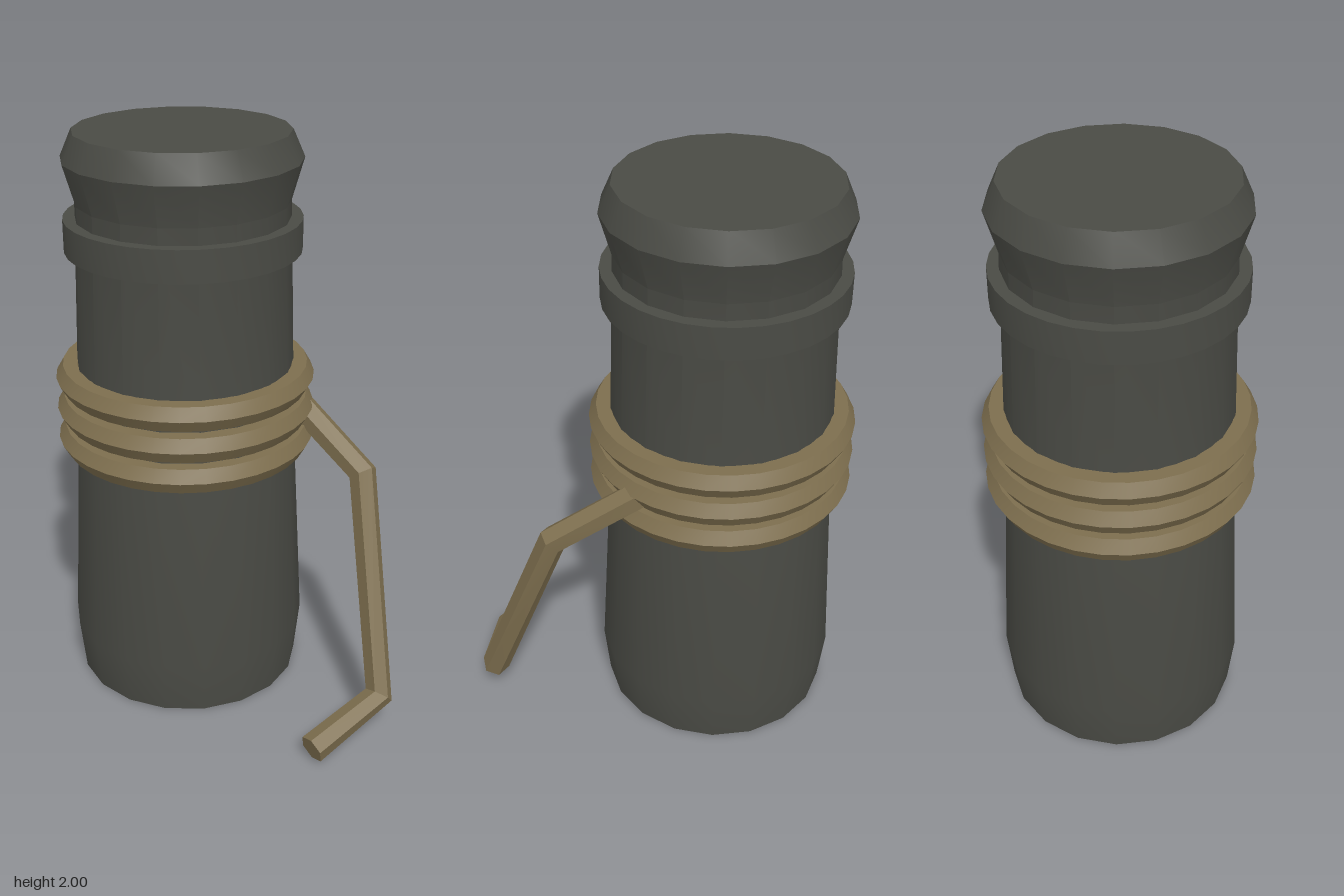
import * as THREE from 'three';
import { toCreasedNormals, mergeGeometries } from 'three/addons/utils/BufferGeometryUtils.js';

const CX = -0.14, CZ = -0.14; // axis of the cylinder body

// Open polyline whose corner tangents bisect the neighbouring segments
class BentPath extends THREE.Curve {
  constructor(points) {
    super();
    this.points = points;
  }
  getPointAt(t) {
    const p = this.points, n = p.length - 1;
    const i = Math.min(Math.floor(t * n + 1e-6), n - 1);
    return p[i].clone().lerp(p[i + 1], t * n - i);
  }
  getPoint(t) {
    return this.getPointAt(t);
  }
  getTangentAt(t) {
    const p = this.points, n = p.length - 1, i = Math.round(t * n);
    const dir = (k) => p[k + 1].clone().sub(p[k]).normalize();
    return dir(Math.max(i - 1, 0)).add(dir(Math.min(i, n - 1))).normalize();
  }
}

export function createModel() {
  const group = new THREE.Group();
  const darkMetal = new THREE.MeshStandardMaterial({ color: 0x4a4b45 });
  darkMetal.name = 'dark metal';
  const brass = new THREE.MeshStandardMaterial({ color: 0x7d6e4e });
  brass.name = 'dull brass';

  const add = (name, geometry, material, x = 0, y = 0, z = 0) => {
    const mesh = new THREE.Mesh(geometry, material);
    mesh.name = name;
    mesh.position.set(x, y, z);
    group.add(mesh);
  };
  const lathe = (profile, sides) => toCreasedNormals(new THREE.LatheGeometry(
    profile.map(([r, y]) => new THREE.Vector2(r, y)), sides, Math.PI / 2), 0.42);

  // Tapered body with a pinched neck and chamfered cap
  add('body', lathe([[0, 0], [0.405, 0], [0.425, 0.19], [0.385, 0.95], [0.36, 1.77],
    [0.4, 1.91], [0.36, 2], [0, 2]], 18), darkMetal, CX, 0, CZ);

  // Square-edged collar below the neck
  add('collar', lathe([[0.34, 1.605], [0.4, 1.605], [0.4, 1.715], [0.34, 1.715]], 32),
    darkMetal, CX, 0, CZ);

  // Three hexagonal-section rings
  [0.937, 1.048, 1.16].forEach((y, i) => {
    const ring = new THREE.TorusGeometry(0.4, 0.05, 6, 32).rotateX(Math.PI / 2);
    add(`ring${i + 1}`, toCreasedNormals(ring, 0.6), brass, CX, y, CZ);
  });

  // Bent wire lever hanging from the rings
  const path = new BentPath([
    new THREE.Vector3(0.26, 1.035, -0.14),
    new THREE.Vector3(0.478, 0.86, 0.06),
    new THREE.Vector3(0.543, 0.14, 0.352),
    new THREE.Vector3(0.302, 0.058, 0.547),
  ]);
  const tube = new THREE.TubeGeometry(path, 3, 0.05, 6);
  const cap = new THREE.CircleGeometry(0.05, 6);
  const frames = path.computeFrenetFrames(3, false);
  const N = frames.normals[3].clone().negate(), T = frames.tangents[3];
  cap.applyMatrix4(new THREE.Matrix4()
    .makeBasis(N, T.clone().cross(N), T)
    .setPosition(path.getPointAt(1)));
  const lever = mergeGeometries([tube.toNonIndexed(), cap.toNonIndexed()]);
  add('lever', toCreasedNormals(lever, 0.35), brass);

  return group;
}
